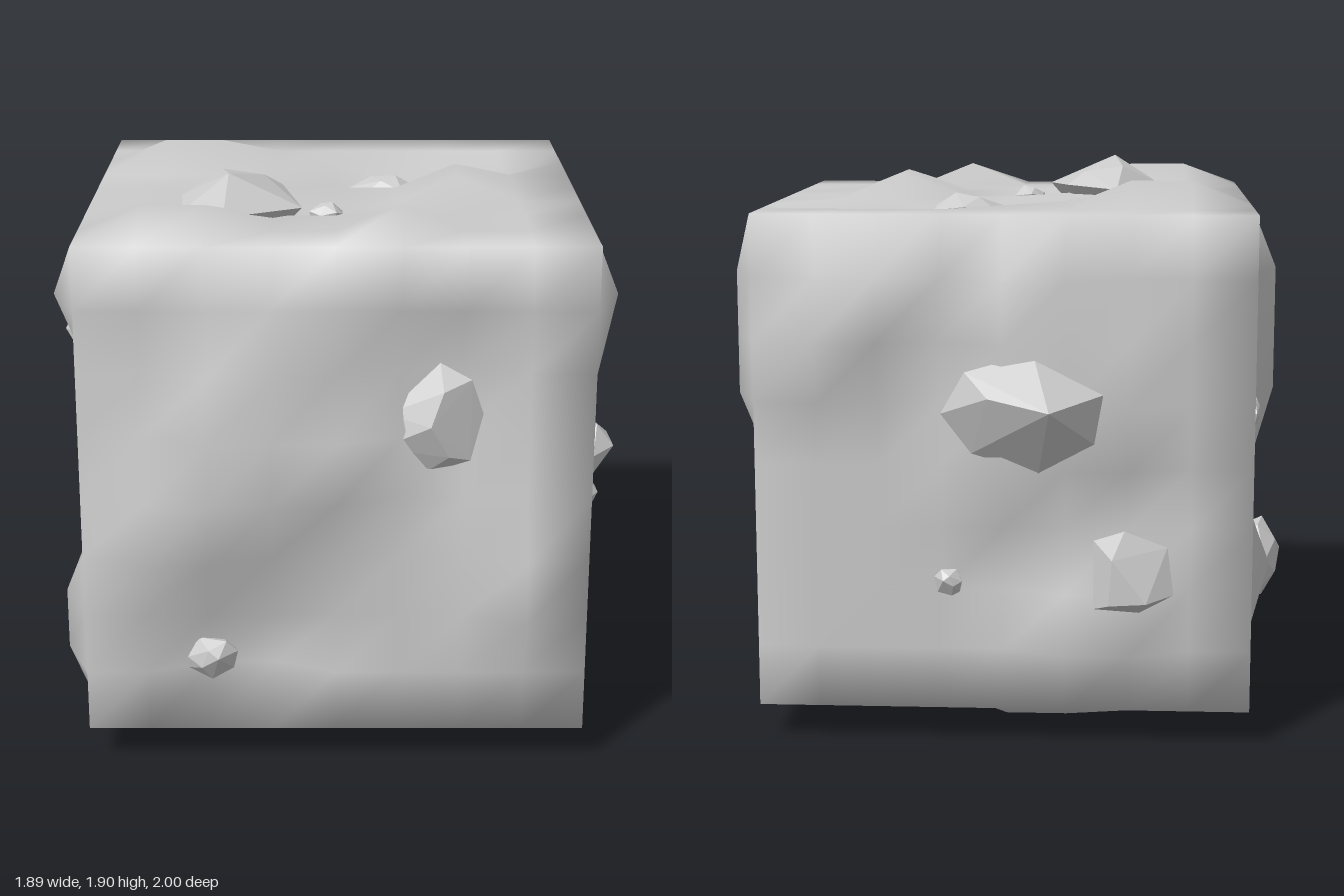
import * as THREE from 'three';
import { mergeVertices } from 'three/addons/utils/BufferGeometryUtils.js';
import { ConvexGeometry } from 'three/addons/geometries/ConvexGeometry.js';

const X = 0.82, BOTTOM = 0.12, TOP = 1.77, BACK = -0.73, FRONT = 0.92;
const BUMP = 0.083, SEGMENTS = 8;
const STEP = { '+': BUMP, '0': 0, '-': -BUMP };

// Each face maps (u, v, height above the face) to a point.
// Its relief marks raised (+), level (0) and sunken (-) grid points:
// each row runs along u, and the rows are listed in order of rising v.
const faces = {
  front: {
    at: (x, y, h) => [x, y, FRONT + h],
    relief: ['0--0000', '000000+', '++0000+', '++++000', '0+++0-0', '0++0--0', '0000000'],
  },
  back: {
    at: (x, y, h) => [x, y, BACK - h],
    relief: ['0++0000', '0++0000', '0000000', '0+++000', '0+++000', '0+++0++', '00++0+0'],
  },
  right: {
    at: (z, y, h) => [X + h, y, z],
    relief: ['0000000', '0000000', '0000000', '00+0000', '+++0000', '++00+00', '+000+0+'],
  },
  left: {
    at: (z, y, h) => [-X - h, y, z],
    relief: ['000000+', '0+0000+', '0000000', '0000000', '0+00000', '0+00--0', '0+0000+'],
  },
  top: {
    at: (x, z, h) => [x, TOP + h, z],
    relief: ['0000000', '++00---', '000--00', '00000+0', '000-0+0', '0000000', '++00+00'],
  },
  bottom: {
    at: (x, z, h) => [x, BOTTOM - h, z],
    relief: ['00++000', '00+++00', '0000000', '00++000', '00000+0', '0000++0', '00+++00'],
  },
};

function seeded(seed) {
  let s = (seed * 7919 + 17) % 233280;
  return () => (s = (s * 9301 + 49297) % 233280) / 233280;
}

// Softly shaded cube whose inner grid points are pushed in or out by one step
function makeBlock(material) {
  const size = [2 * X, TOP - BOTTOM, FRONT - BACK];
  const geo = new THREE.BoxGeometry(...size, SEGMENTS, SEGMENTS, SEGMENTS);
  const pos = geo.attributes.position, nor = geo.attributes.normal;
  const cell = (p, axis) => Math.round((p / size[axis] + 0.5) * SEGMENTS) - 1;
  for (let i = 0; i < pos.count; i++) {
    const p = [pos.getX(i), pos.getY(i), pos.getZ(i)];
    const n = [nor.getX(i), nor.getY(i), nor.getZ(i)];
    const axis = n.findIndex((c) => Math.abs(c) > 0.5);
    const name = [['left', 'right'], ['bottom', 'top'], ['back', 'front']][axis][n[axis] > 0 ? 1 : 0];
    const [uAxis, vAxis] = [[2, 1], [0, 2], [0, 1]][axis];
    const mark = faces[name].relief[cell(p[vAxis], vAxis)]?.[cell(p[uAxis], uAxis)];
    if (mark) p[axis] += n[axis] * STEP[mark];
    pos.setXYZ(i, ...p);
  }
  geo.deleteAttribute('uv');
  geo.deleteAttribute('normal');
  geo.translate(0, (TOP + BOTTOM) / 2, (FRONT + BACK) / 2);
  const smooth = mergeVertices(geo, 1e-4);
  smooth.computeVertexNormals();
  const mesh = new THREE.Mesh(smooth, material);
  mesh.name = 'block';
  return mesh;
}

// Uneven ring of points for the small stones
function roughOutline(u, v, ru, rv, seed) {
  const rand = seeded(seed), points = [];
  for (let i = 0; i < 7; i++) {
    const a = ((i + 0.5 * rand()) / 7) * Math.PI * 2;
    const r = 0.9 + 0.2 * rand();
    points.push([u + ru * r * Math.cos(a), v + rv * r * Math.sin(a)]);
  }
  return points;
}

// Faceted stone: widest along its outline, tapering into the block, with peaks above.
// The lift moves it in or out with the ground it sits on.
function makeStone(name, faceName, outline, rim, peaks, lift, material) {
  const { at } = faces[faceName];
  const mid = [0, 1].map((k) => outline.reduce((sum, p) => sum + p[k], 0) / outline.length);
  const points = [];
  outline.forEach(([u, v], i) => {
    points.push(new THREE.Vector3(...at(u, v, lift + rim * (i % 2 ? 1.15 : 0.8))));
    points.push(new THREE.Vector3(...at((u + mid[0]) / 2, (v + mid[1]) / 2, lift - 0.1)));
  });
  peaks.forEach(([u, v, h]) => points.push(new THREE.Vector3(...at(u, v, lift + h))));
  const mesh = new THREE.Mesh(new ConvexGeometry(points), material);
  mesh.name = name;
  return mesh;
}

// Large stones: face, outline, rim height, peaks [u, v, height], lift
const largeStones = [
  ['top', [[-0.36, 0.09], [-0.18, 0.2], [-0.11, 0.5], [-0.36, 0.68], [-0.5, 0.55], [-0.51, 0.35]],
    0.03, [[-0.35, 0.46, 0.13], [-0.24, 0.25, 0.08], [-0.38, 0.25, 0.1]], 0],
  ['front', [[0.33, 1.38], [0.43, 1.33], [0.47, 1.21], [0.43, 1.06], [0.27, 1.0], [0.14, 1.1], [0.16, 1.21]],
    0.06, [[0.3, 1.19, 0.13], [0.36, 1.08, 0.1], [0.34, 1.3, 0.11]], -0.1],
  ['right', [[0.08, 0.7], [-0.16, 0.82], [-0.37, 0.74], [-0.35, 0.65], [-0.12, 0.48], [0.08, 0.58]],
    0.03, [[-0.1, 0.64, 0.09], [-0.3, 0.69, 0.08]], -0.01],
  ['back', [[0.2, 1.13], [0.12, 1.27], [-0.1, 1.33], [-0.33, 1.2], [-0.32, 1.02], [-0.12, 0.94], [0.1, 1.0]],
    0.07, [[-0.16, 1.17, 0.27], [0.04, 1.2, 0.18]], 0],
  ['back', [[-0.3, 0.72], [-0.4, 0.76], [-0.54, 0.7], [-0.56, 0.55], [-0.45, 0.48], [-0.3, 0.5]],
    0.1, [[-0.36, 0.68, 0.19], [-0.47, 0.54, 0.2], [-0.35, 0.53, 0.19]], 0],
  ['bottom', [[0.35, -0.1], [0.42, -0.28], [0.56, -0.3], [0.67, -0.15], [0.6, 0.02], [0.43, 0.07]],
    0.03, [[0.53, -0.11, 0.12], [0.4, -0.08, 0.08]], 0],
];

// Small stones: face, centre u, v, half sizes, height, lift
const smallStones = [
  ['top', 0.17, -0.03, 0.13, 0.1, 0.09, -0.07],
  ['top', -0.03, 0.39, 0.06, 0.05, 0.06, -0.04],
  ['front', -0.41, 0.37, 0.085, 0.08, 0.09, -0.06],
  ['right', 0.47, 0.95, 0.13, 0.11, 0.12, 0],
  ['right', 0.59, 0.83, 0.055, 0.06, 0.06, 0],
  ['back', 0.18, 0.56, 0.05, 0.045, 0.06, -0.01],
  ['left', 0.36, 1.33, 0.17, 0.14, 0.15, -0.06],
  ['left', 0.24, 1.18, 0.06, 0.07, 0.08, -0.03],
  ['left', -0.53, 1.1, 0.045, 0.045, 0.03, 0],
  ['left', -0.2, 0.52, 0.15, 0.14, 0.13, 0],
  ['bottom', -0.39, -0.3, 0.15, 0.1, 0.07, -0.01],
  ['bottom', -0.03, 0.38, 0.08, 0.08, 0.08, -0.01],
];

export function createModel() {
  const group = new THREE.Group();
  group.name = 'stonyBlock';
  const soft = new THREE.MeshStandardMaterial({ color: 0xcccccc });
  const faceted = new THREE.MeshStandardMaterial({ color: 0xcccccc, flatShading: true });
  group.add(makeBlock(soft));

  for (const [face, outline, rim, peaks, lift] of largeStones) {
    group.add(makeStone(`${face}LargeStone`, face, outline, rim, peaks, lift, faceted));
  }
  smallStones.forEach(([face, u, v, ru, rv, h, lift], i) => {
    const peaks = [[u + 0.3 * ru, v + 0.2 * rv, h], [u - 0.35 * ru, v - 0.25 * rv, 0.85 * h], [u - 0.1 * ru, v + 0.5 * rv, 0.85 * h]];
    group.add(makeStone(`${face}SmallStone`, face, roughOutline(u, v, ru, rv, i + 3), 0.45 * h, peaks, lift, faceted));
  });
  return group;
}
